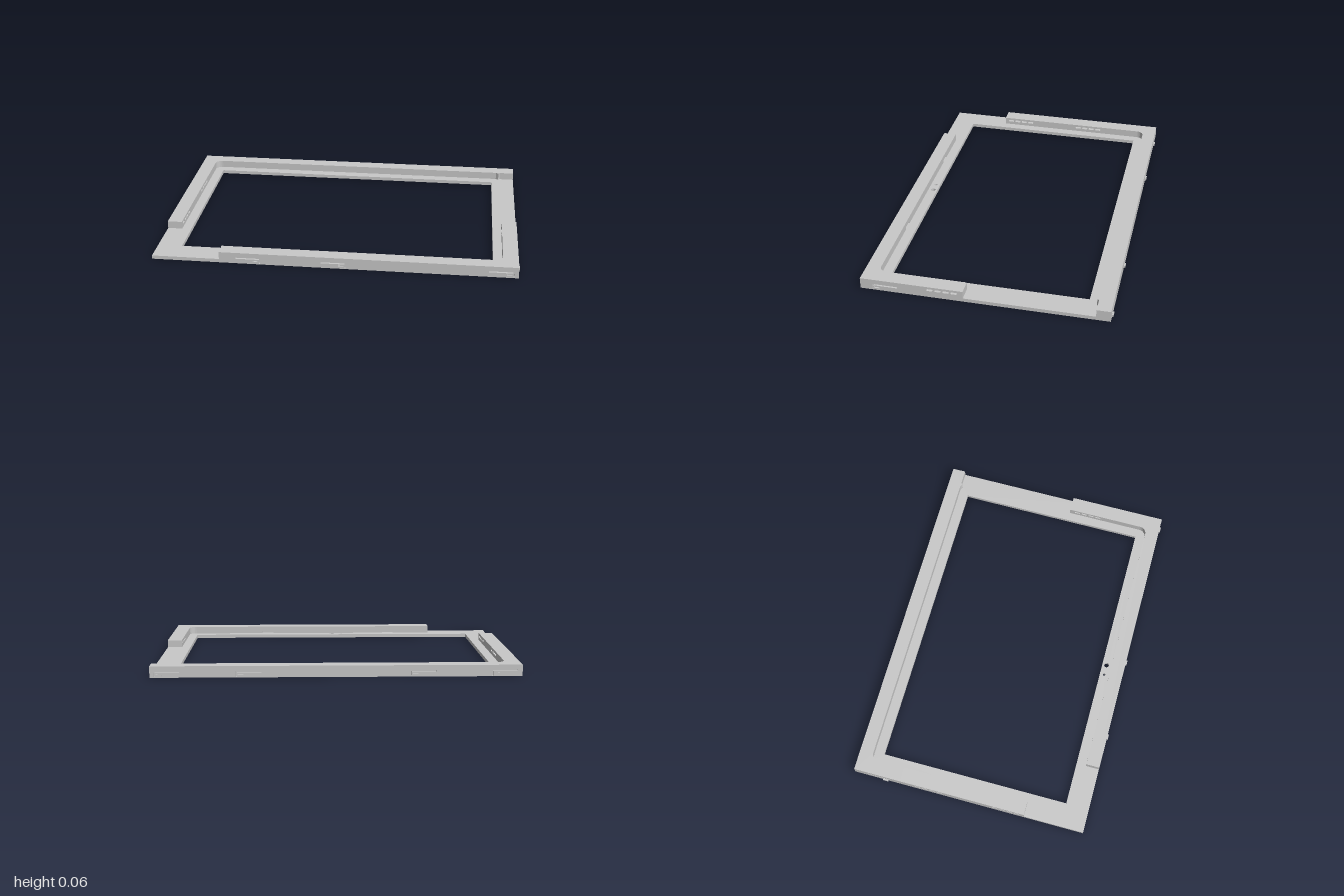
import * as THREE from 'three';

const grey = new THREE.MeshStandardMaterial({ color: 0xc8c8c8 });
grey.name = 'plain grey';

const H = 0.062;      // overall height
const P = 0.02;       // base plate thickness
const T = 0.012;      // outer skin thickness
const X = 0.992, ZF = 0.666, ZB = -0.668;

export function createModel() {
  const group = new THREE.Group();
  const add = (name, geo) => {
    const m = new THREE.Mesh(geo, grey);
    m.name = name;
    group.add(m);
  };

  const poly = (pts, C = THREE.Shape) => new C(pts.map(([a, b]) => new THREE.Vector2(a, b)));
  const rect = (a0, a1, b0, b1) => [[a0, b0], [a1, b0], [a1, b1], [a0, b1]];
  const flip = pts => pts.map(([x, z]) => [x, -z]);
  const extrude = (shape, depth) =>
    new THREE.ExtrudeGeometry(shape, { depth, bevelEnabled: false, curveSegments: 10 });

  // Plan outline in x, z (front edge first, then towards the back) raised from y0 to y1
  const plan = (pts, y0, y1, holes = []) => {
    const s = poly(flip(pts));
    s.holes.push(...holes);
    return extrude(s, y1 - y0).rotateX(-Math.PI / 2).translate(0, y0, 0);
  };

  // Upright wall drawn in length, height; along x or along z
  const wall = (axis, u0, u1, y0, from, to, holes = []) => {
    const s = poly(rect(u0, u1, y0, H));
    s.holes.push(...holes);
    const g = extrude(s, to - from);
    return axis === 'x' ? g.translate(0, 0, from) : g.rotateY(-Math.PI / 2).translate(to, 0, 0);
  };

  // L-shaped relief slit around a snap clip centred at u
  const slit = u => poly([
    [u - 0.11, 0.027], [u + 0.02, 0.027], [u + 0.02, 0.004],
    [u + 0.026, 0.004], [u + 0.026, 0.035], [u - 0.11, 0.035]], THREE.Path);

  // Round-ended ventilation slots
  const vent = c => {
    const r = 0.006, l = 0.012, p = new THREE.Path();
    p.absarc(c + l, 0.0435, r, -Math.PI / 2, Math.PI / 2);
    p.absarc(c - l, 0.0435, r, Math.PI / 2, Math.PI * 1.5);
    p.closePath();
    return p;
  };
  const vents = first => [0, 1, 2, 3].map(i => vent(first - i * 0.0434));

  const disc = (x, z, r) => new THREE.Path().absarc(x, -z, r, 0, Math.PI * 2);
  const fillet = (cx, cz, r, a0, a1) => Array.from({ length: 7 }, (_, i) => {
    const a = a0 + (a1 - a0) * i / 6;
    return [cx + r * Math.cos(a), cz + r * Math.sin(a)];
  });

  // Base plate with window, lens holes and latch openings
  const latches = [0.375, -0.395];
  add('basePlate', plan([
    [-X, ZF], [-0.62, ZF], [-0.62, ZF - T], [X - T, ZF - T], [X - T, 0.107], [X, 0.107],
    [X, ZB + T], [-X + T, ZB + T], [-X + T, 0.324], [-X, 0.324]], 0, P, [
    poly(flip(rect(-0.857, 0.857, -0.537, 0.535)), THREE.Path),
    disc(0, 0.56, 0.014), disc(-0.06, 0.56, 0.008),
    ...latches.map(x => poly(flip(rect(x, x + 0.07, 0.606, 0.616)), THREE.Path))]));

  // Front rail core with rounded inner corner; latch notches sit below a solid cap
  const frontOutline = notches => [
    [-0.62, ZF - T], [X - T, ZF - T], [X - T, 0.4], [0.908, 0.4],
    ...fillet(0.868, 0.549, 0.04, 0, Math.PI / 2),
    ...notches.flatMap(x => [[x + 0.07, 0.589], [x + 0.07, 0.62], [x, 0.62], [x, 0.589]]),
    [-0.62, 0.589]];
  add('frontRailCore', plan(frontOutline(latches), P, 0.035));
  add('frontRailCap', plan(frontOutline([]), 0.035, H));

  // Back rail core with a small rib near its open end
  add('backRailCore', plan([
    [X, ZB + T], [-X + T, ZB + T], [-X + T, -0.4], [-0.91, -0.4],
    ...fillet(-0.87, -0.552, 0.04, Math.PI, Math.PI * 1.5),
    [0.885, -0.592], [0.9, -0.582], [0.908, -0.592], [X, -0.592]], P, H));

  // Vented side rails
  const near = () => vents(0.285), far = () => vents(-0.165);
  add('leftRailCore', wall('z', 0.107, 0.4, P, 0.908, X - T, near()));
  add('rightRailCore', wall('z', -0.4, 0.324, P, -X + T, -0.91, [...near(), ...far()]));

  // Outer skins, cut by the clip slits
  const frontClips = [-0.42, 0.045, 0.944], backClips = [-0.855, -0.42, 0.51, 0.944];
  add('frontSkin', wall('x', -0.62, X, 0, ZF - T, ZF, frontClips.map(slit)));
  add('backSkin', wall('x', -X, X, 0, ZB, ZB + T, backClips.map(slit)));
  add('leftSkin', wall('z', 0.107, ZF - T, 0, X - T, X, [slit(0.574), ...near()]));
  add('rightSkin', wall('z', ZB + T, 0.324, 0, -X, -X + T, [slit(-0.485), ...near(), ...far()]));

  // Snap bumps
  const bump = (x, z, w, d) => add('snapBump', new THREE.BoxGeometry(w, 0.012, d).translate(x, 0.0125, z));
  frontClips.forEach(x => bump(x, ZF + 0.001, 0.03, 0.012));
  backClips.forEach(x => bump(x, ZB - 0.002, 0.03, 0.012));
  bump(X + 0.002, 0.574, 0.012, 0.03);
  bump(-X - 0.002, -0.485, 0.012, 0.03);

  return group;
}
